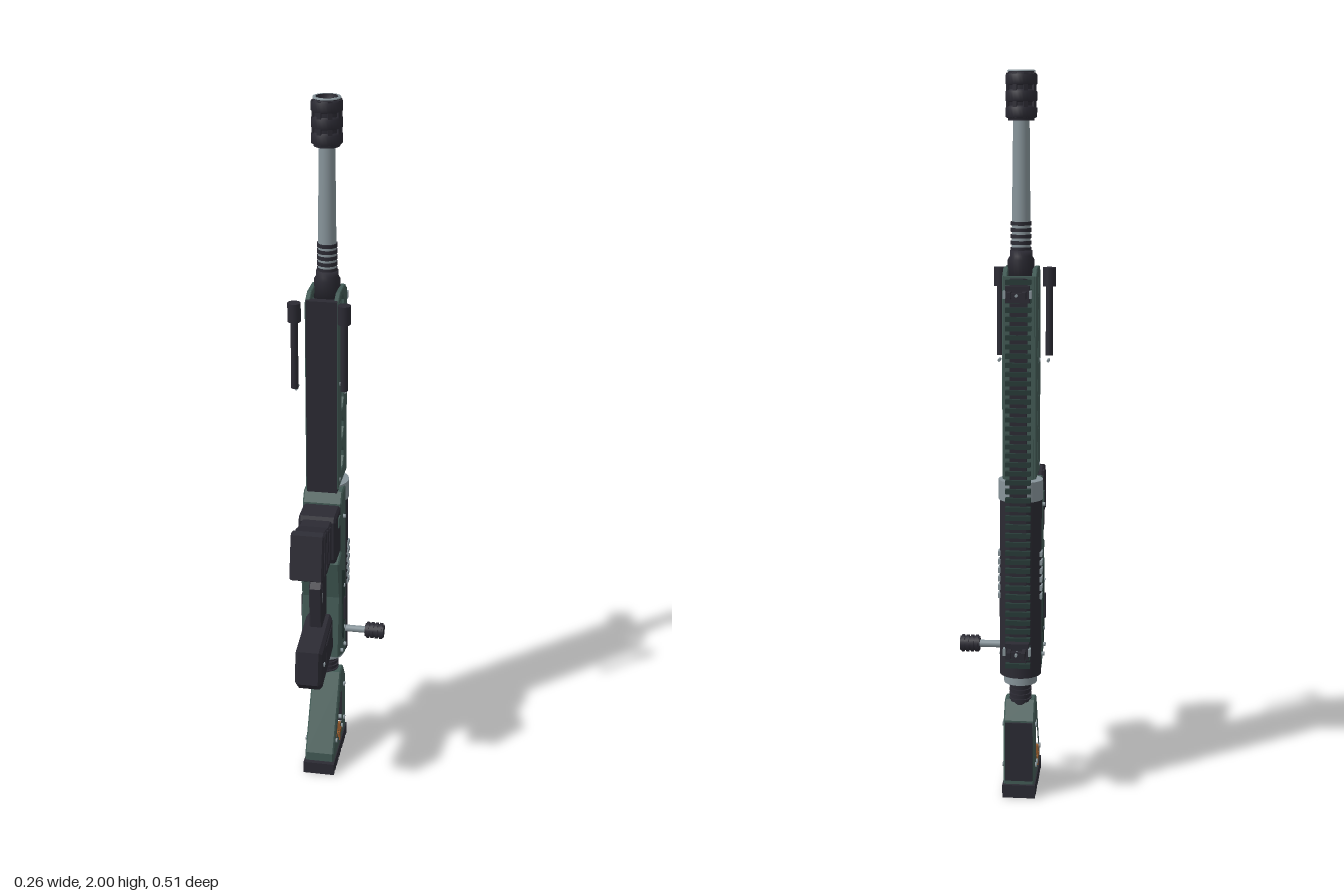
import * as THREE from 'three';

const mat = (name, color) => Object.assign(new THREE.MeshStandardMaterial({ color }), { name });

export function createModel() {
  const green = mat('grey green', 0x425a55);
  const deep = mat('deep green', 0x273a37);
  const dark = mat('charcoal', 0x2b2a33);
  const steel = mat('steel grey', 0x87949a);
  const orange = mat('rust orange', 0x92582a);

  const model = new THREE.Group();
  model.name = 'modularRifle';
  const body = new THREE.Group();
  body.name = 'body';
  body.position.x = -0.043; // x is measured from the bore axis below
  model.add(body);
  const AZ = -0.094;

  const add = (name, geo, m, x = 0, y = 0, z = 0) => {
    const mesh = new THREE.Mesh(geo, m);
    mesh.name = name;
    mesh.position.set(x, y, z);
    body.add(mesh);
    return mesh;
  };
  // box given by its extents
  const box = (name, m, [x0, x1], [y0, y1], [z0, z1]) =>
    add(name, new THREE.BoxGeometry(x1 - x0, y1 - y0, z1 - z0), m, (x0 + x1) / 2, (y0 + y1) / 2, (z0 + z1) / 2);
  const cyl = (name, m, r, y0, y1, x = 0, z = AZ, rTop = r, seg = 28) =>
    add(name, new THREE.CylinderGeometry(rTop, r, y1 - y0, seg), m, x, (y0 + y1) / 2, z);
  const crossPin = (name, m, r, x0, x1, y, z, seg = 20) => {
    const mesh = add(name, new THREE.CylinderGeometry(r, r, x1 - x0, seg), m, (x0 + x1) / 2, y, z);
    mesh.rotation.z = Math.PI / 2;
    return mesh;
  };
  // side profile in [z, y] extruded along x, with a small bevel
  const slab = (name, m, pts, x0, x1, holes = [], bevel = 0.004) => {
    const flip = (list) => list.map(([z, y]) => new THREE.Vector2(-z, y));
    const shape = new THREE.Shape(flip(pts));
    holes.forEach((h) => shape.holes.push(new THREE.Path(flip(h))));
    const geo = new THREE.ExtrudeGeometry(shape, {
      depth: x1 - x0 - 2 * bevel, bevelEnabled: bevel > 0, bevelThickness: bevel,
      bevelSize: bevel, bevelOffset: -bevel, bevelSegments: 1,
    });
    geo.translate(0, 0, bevel).rotateY(Math.PI / 2);
    return add(name, geo, m, x0);
  };
  const lathe = (name, m, pts) =>
    add(name, new THREE.LatheGeometry(pts.map(([r, y]) => new THREE.Vector2(r, y)), 28), m, 0, 0, AZ);

  // muzzle brake: hollow core, rings and ribs
  lathe('muzzleBrake', dark, [[0.02, 1.87], [0.035, 1.87], [0.035, 1.995], [0.031, 2], [0.027, 2], [0.027, 1.97], [0, 1.97]]);
  for (const y of [1.875, 1.917, 1.96]) {
    lathe('brakeRing', dark, [[0.034, y], [0.042, y + 0.004], [0.042, y + 0.028], [0.034, y + 0.034]]);
  }
  for (let i = 0; i < 8; i++) {
    const a = (i + 0.5) * Math.PI / 4;
    const rib = add('brakeRib', new THREE.BoxGeometry(0.008, 0.115, 0.012), dark,
      Math.cos(a) * 0.036, 1.935, AZ + Math.sin(a) * 0.036);
    rib.rotation.y = -a;
  }
  lathe('brakeFaceRing', steel, [[0.038, 1.996], [0.037, 2], [0.029, 2], [0.028, 1.997]]);

  // barrel and ribbed collar
  cyl('barrel', steel, 0.026, 1.5, 1.88, 0, AZ, 0.022);
  for (let i = 0; i < 5; i++) cyl('barrelRing', dark, 0.028, 1.528 + i * 0.017, 1.538 + i * 0.017);
  lathe('barrelCollar', dark, [[0, 1.45], [0.036, 1.45], [0.036, 1.505], [0.03, 1.515], [0.03, 1.53], [0, 1.53]]);
  cyl('innerBarrel', deep, 0.02, 0.9, 1.46);

  // handguard: windowed side plates, dark front cover, back plate
  const windows = [];
  for (let i = 0; i < 6; i++) {
    const y = 1.437 - i * 0.0905;
    windows.push([[-0.055, y + 0.03], [-0.08, y + 0.03], [-0.103, y + 0.008], [-0.103, y - 0.008], [-0.08, y - 0.032], [-0.055, y - 0.032]]);
  }
  const frontNotch = [[-0.014, 1.455], [-0.034, 1.462], [-0.022, 1.425]];
  const plate = [[-0.002, 0.915], [-0.148, 0.915], [-0.148, 1.465], [-0.115, 1.485], [-0.04, 1.485], [-0.002, 1.465]];
  for (const s of [0.033, -0.046]) slab('handguardSide', green, plate, s, s + 0.013, [...windows, frontNotch], 0.002);
  box('handguardFront', dark, [-0.043, 0.043], [0.905, 1.47], [-0.022, 0.002]);
  box('handguardBack', green, [-0.04, 0.04], [0.915, 1.465], [-0.155, -0.14]);
  for (const y of [0.935, 1.225]) crossPin('handguardScrew', steel, 0.006, -0.048, 0.048, y, -0.028, 12);

  // upper receiver tube with steel collars
  cyl('receiverTube', dark, 0.058, 0.35, 0.86);
  cyl('upperCollar', steel, 0.061, 0.85, 0.905);
  cyl('lowerCollar', steel, 0.046, 0.325, 0.352);
  for (const s of [-1, 1]) {
    for (let i = 0; i < 6; i++) {
      const y = 0.57 + i * 0.024;
      box('portStripe', steel, s < 0 ? [-0.061, -0.054] : [0.054, 0.061], [y, y + 0.014], [-0.117, -0.086]);
    }
  }

  // lower receiver
  slab('lowerReceiver', green, [[-0.02, 0.9], [-0.075, 0.9], [-0.075, 0.35], [-0.055, 0.35], [0.045, 0.395],
    [0.02, 0.58], [0.045, 0.7], [0, 0.72], [0, 0.87]], -0.056, 0.056);
  for (const s of [-1, 1]) {
    const x0 = s < 0 ? -0.06 : 0.053;
    slab('receiverPanel', deep, [[0.0, 0.66], [-0.04, 0.64], [-0.04, 0.48], [-0.02, 0.42], [-0.005, 0.45]], x0, x0 + 0.007, [], 0.002);
    box('selectorLever', dark, s < 0 ? [-0.065, -0.058] : [0.058, 0.065], [0.49, 0.56], [-0.03, -0.015]);
  }
  for (const [y, z] of [[0.82, -0.03], [0.6, -0.022], [0.46, -0.025], [0.4, 0.01], [0.39, -0.045]]) {
    crossPin('receiverPin', steel, 0.006, -0.063, 0.063, y, z, 12);
  }

  // magazine well and magazine
  slab('magazineWell', dark, [[0.075, 0.865], [-0.01, 0.865], [-0.01, 0.72], [0.075, 0.72], [0.082, 0.735], [0.082, 0.85]], -0.053, 0.053, [], 0.006);
  for (const s of [-0.056, 0.051]) box('wellCatch', green, [s, s + 0.005], [0.815, 0.845], [0.015, 0.04]);
  slab('magazine', dark, [[0.06, 0.855], [0.12, 0.855], [0.215, 0.882], [0.245, 0.755], [0.16, 0.728], [0.06, 0.737]], -0.042, 0.042);
  slab('magazineBase', dark, [[0.21, 0.885], [0.228, 0.88], [0.255, 0.757], [0.235, 0.745]], -0.046, 0.046);
  for (let i = 0; i < 3; i++) {
    const z = 0.105 + i * 0.037;
    slab('magazineRib', dark, [[z, 0.85 + i * 0.01], [z + 0.014, 0.853 + i * 0.01], [z + 0.03, 0.75], [z + 0.016, 0.75]], -0.046, 0.046, [], 0.002);
  }

  // trigger guard, trigger and grip
  slab('triggerGuard', dark, [[0.03, 0.7], [0.1, 0.678], [0.118, 0.655], [0.108, 0.505], [0.03, 0.505]], -0.018, 0.018,
    [[[0.035, 0.68], [0.09, 0.662], [0.102, 0.645], [0.094, 0.525], [0.035, 0.53]]], 0.003);
  slab('trigger', steel, [[0.025, 0.605], [0.05, 0.59], [0.075, 0.595], [0.085, 0.575], [0.06, 0.57], [0.025, 0.58]], -0.008, 0.008, [], 0.002);
  slab('grip', dark, [[0.225, 0.512], [0.045, 0.538], [0.03, 0.42], [0.215, 0.388], [0.24, 0.415]], -0.038, 0.038, [], 0.009);
  for (const s of [-0.041, 0.036]) slab('gripPanel', dark, [[0.16, 0.5], [0.065, 0.515], [0.055, 0.435], [0.15, 0.42]], s, s + 0.005, [], 0.002);
  crossPin('gripScrew', steel, 0.007, -0.041, 0.041, 0.457, 0.19, 12);

  // charging handle
  crossPin('handleRod', steel, 0.01, 0.04, 0.12, 0.425, -0.076);
  crossPin('handleKnob', dark, 0.02, 0.116, 0.171, 0.425, -0.076);
  for (let i = 0; i < 4; i++) crossPin('knobRib', dark, 0.024, 0.12 + i * 0.013, 0.128 + i * 0.013, 0.425, -0.076);

  // toothed top rail
  box('railSpine', dark, [-0.023, 0.023], [0.39, 1.46], [-0.18, -0.167]);
  for (let i = 0; i < 44; i++) {
    const y = 0.392 + i * 0.0245;
    box('railTooth', deep, [-0.034, 0.034], [y, y + 0.013], [-0.19, -0.174]);
  }

  // folding sights at both ends of the rail
  for (const y of [0.447, 1.422]) {
    box('sightBase', dark, [-0.032, 0.032], [y - 0.022, y + 0.022], [-0.213, -0.187]);
    for (const s of [-1, 1]) {
      box('sightClamp', steel, s < 0 ? [-0.038, -0.031] : [0.031, 0.038], [y - 0.01, y + 0.01], [-0.22, -0.2]);
      box('sightEar', dark, s < 0 ? [-0.025, -0.015] : [0.015, 0.025], [y - 0.009, y + 0.009], [-0.254, -0.21]);
    }
    box('sightBridge', dark, [-0.02, 0.02], [y - 0.006, y + 0.006], [-0.236, -0.226]);
    const post = cyl('sightPost', steel, 0.004, y - 0.022, y + 0.022, 0, -0.226, 0.004, 12);
    post.rotation.x = Math.PI / 2;
  }

  // detached side plungers with their small pins
  for (const s of [-1, 1]) {
    cyl('plungerHead', dark, 0.018, 1.422, 1.474, s * 0.068, 0.032);
    cyl('plungerRod', dark, 0.01, 1.23, 1.425, s * 0.068, 0.032);
    const pin = cyl('plungerPin', steel, 0.004, 1.205, 1.235, s * 0.068, 0.002, 0.004, 12);
    pin.rotation.x = Math.PI / 2;
  }

  // buffer tube
  cyl('bufferTube', dark, 0.026, 0.24, 0.33);
  for (let i = 0; i < 4; i++) cyl('bufferRing', dark, 0.031, 0.27 + i * 0.014, 0.278 + i * 0.014);

  // skeleton stock with butt pad
  slab('stock', green, [[-0.05, 0.25], [-0.065, 0.275], [-0.11, 0.275], [-0.147, 0.225], [-0.147, 0.035], [0.062, 0.035], [0.062, 0.065]],
    -0.043, 0.043, [[[-0.065, 0.21], [-0.09, 0.2], [-0.09, 0.09], [0.018, 0.085]]]);
  box('stockInsert', dark, [-0.032, 0.032], [0.138, 0.2], [-0.093, -0.058]);
  box('stockBackPlate', dark, [-0.038, 0.038], [0.05, 0.22], [-0.153, -0.145]);
  box('stockLatch', orange, [-0.047, 0.047], [0.055, 0.115], [-0.044, -0.032]);
  box('latchTab', orange, [-0.047, 0.047], [0.075, 0.087], [-0.06, -0.018]);
  for (const [y, z] of [[0.205, -0.115], [0.085, -0.115], [0.09, 0.022], [0.08, -0.075]]) {
    crossPin('stockScrew', steel, 0.007, -0.048, 0.048, y, z, 12);
  }
  box('buttPad', dark, [-0.046, 0.046], [0.014, 0.038], [-0.156, 0.076]);
  for (let i = 0; i < 10; i++) {
    const z = -0.154 + i * 0.0238;
    box('padTread', dark, [-0.046, 0.046], [0, 0.016], [z, z + 0.014]);
  }
  return model;
}
